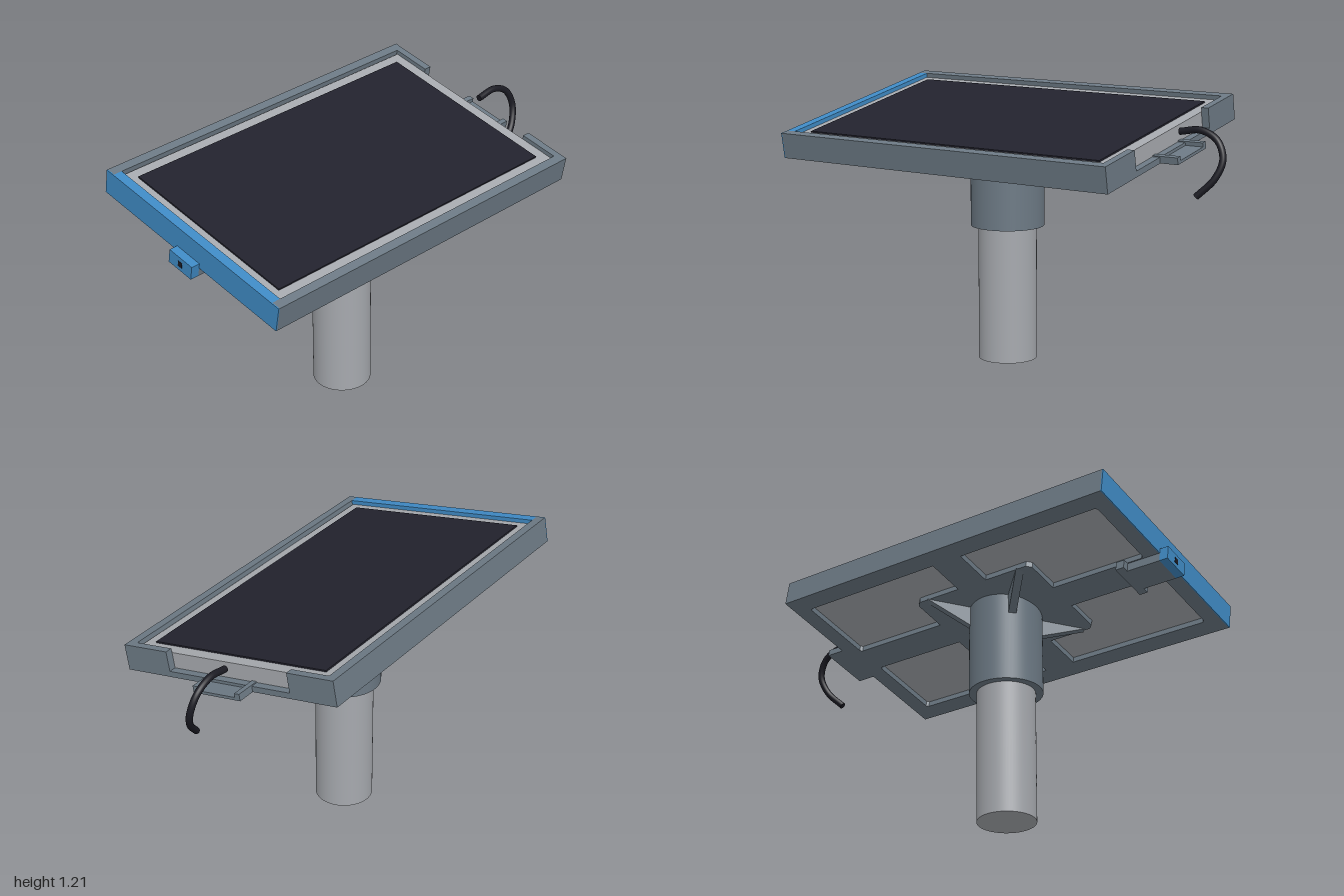
import * as THREE from 'three';

const mat = (name, color) => Object.assign(new THREE.MeshStandardMaterial({ color }), { name });

export function createModel() {
  const frameGrey = mat('slate grey', 0x6c7984);
  const lightGrey = mat('light grey', 0xa6a9ae);
  const blue = mat('blue', 0x3f8ac4);
  const black = mat('screen black', 0x22222d);
  const cordBlack = mat('cord black', 0x1b1b23);

  const model = new THREE.Group();
  const add = (parent, name, geometry, material) => {
    const mesh = new THREE.Mesh(geometry, material);
    mesh.name = name;
    parent.add(mesh);
    return mesh;
  };

  const TILT = THREE.MathUtils.degToRad(10), SLOPE = Math.tan(TILT);
  const CX = -0.1075, CY = 1.055;

  // Tilted head holding the display
  const head = new THREE.Group();
  head.name = 'displayHead';
  head.position.y = CY;
  head.rotation.x = TILT;
  model.add(head);
  // Box from its minimum and maximum corners
  const box = (name, material, x0, x1, y0, y1, z0, z1) => {
    const g = new THREE.BoxGeometry(x1 - x0, y1 - y0, z1 - z0);
    g.translate((x0 + x1) / 2, (y0 + y1) / 2, (z0 + z1) / 2);
    return add(head, name, g, material);
  };

  // Base plate with four L-shaped openings around a central pad
  const plate = new THREE.Shape([
    [-0.955, -0.495], [0.745, -0.495], [0.745, 0.495], [-0.955, 0.495],
  ].map(p => new THREE.Vector2(...p)));
  const opening = [[0.075, 0.26], [0.29, 0.26], [0.31, 0.24], [0.31, 0.075],
    [0.765, 0.075], [0.775, 0.085], [0.775, 0.44], [0.765, 0.45], [0.075, 0.45]];
  for (const sx of [-1, 1]) for (const sz of [-1, 1]) {
    plate.holes.push(new THREE.Path(opening.map(([x, z]) => new THREE.Vector2(CX + sx * x, sz * z))));
  }
  const plateGeo = new THREE.ExtrudeGeometry(plate, { depth: 0.026, bevelEnabled: false });
  plateGeo.rotateX(Math.PI / 2).translate(0, -0.032, 0);
  add(head, 'basePlate', plateGeo, frameGrey);

  // Side walls, and the right end wall with its gap
  for (const s of [-1, 1]) {
    const span = (a, b) => (s > 0 ? [a, b] : [-b, -a]);
    box('longWall', frameGrey, -0.955, 0.745, -0.058, 0.058, ...span(0.495, 0.538));
    box('endWall', frameGrey, 0.71, 0.745, -0.032, 0.058, ...span(0.31, 0.495));
    box('cableTrayLip', frameGrey, 0.71, 0.83, -0.045, -0.027, ...span(0.095, 0.12));
  }
  box('cableTray', frameGrey, 0.745, 0.83, -0.058, -0.045, -0.12, 0.12);

  // Blue end cap with its latch
  box('endCapFace', blue, -0.96, -0.955, -0.058, 0.058, -0.538, 0.538);
  box('endCapInner', blue, -0.955, -0.915, -0.032, 0.058, -0.495, 0.495);
  box('latchTab', blue, -1, -0.96, -0.099, -0.035, -0.07, 0.07);
  box('latchSlot', cordBlack, -1.002, -1, -0.08, -0.055, -0.012, 0.012);
  box('latchBar', frameGrey, -0.96, -0.8, -0.099, -0.058, -0.07, 0.07);
  box('latchHead', frameGrey, -0.8, -0.76, -0.099, -0.058, -0.1, 0.1);

  // Display
  box('displayBody', lightGrey, -0.915, 0.71, -0.032, 0.039, -0.49, 0.49);
  box('displayScreen', black, -0.87, 0.655, 0.039, 0.046, -0.44, 0.44);

  // Post and sleeve, the sleeve cut to meet the tilted plate
  const post = new THREE.Group();
  post.name = 'post';
  post.position.set(CX, 0, -0.004);
  model.add(post);
  const under = z => CY - 0.055 - z * SLOPE;
  add(post, 'pole', new THREE.CylinderGeometry(0.131, 0.131, 0.63, 64).translate(0, 0.315, 0), lightGrey);
  const sleeve = new THREE.CylinderGeometry(0.165, 0.165, 0.39, 64).translate(0, 0.805, 0);
  const p = sleeve.attributes.position;
  for (let i = 0; i < p.count; i++) if (p.getY(i) > 0.9) p.setY(i, under(p.getZ(i)));
  add(post, 'sleeve', sleeve, frameGrey);

  // Diagonal gussets between sleeve and plate
  for (let i = 0; i < 4; i++) {
    const a = Math.PI / 4 + i * Math.PI / 2;
    const rise = -Math.sin(a);  // z grows as the radius turns toward the front
    const top = r => under(rise * r);
    const shape = new THREE.Shape([
      new THREE.Vector2(0.14, top(0.14)),
      new THREE.Vector2(0.14, rise > 0 ? 0.897 : 0.915),
      new THREE.Vector2(0.36, top(0.36)),
    ]);
    const g = new THREE.ExtrudeGeometry(shape, { depth: 0.036, bevelEnabled: false });
    g.translate(0, 0, -0.018);
    add(post, 'gusset', g, frameGrey).rotation.y = a;
  }

  // Hooked cord with closed ends
  const path = new THREE.CatmullRomCurve3([
    [0.77, 1.1, -0.01], [0.87, 1.112, -0.011], [0.95, 1.075, -0.007],
    [0.984, 1.0, 0.006], [0.96, 0.92, 0.03], [0.888, 0.842, 0.057],
  ].map(v => new THREE.Vector3(...v)));
  add(model, 'cord', new THREE.TubeGeometry(path, 48, 0.015, 16), cordBlack);
  for (const t of [0, 1]) {
    const cap = add(model, 'cordEnd', new THREE.CircleGeometry(0.015, 16), cordBlack);
    const dir = path.getTangent(t).multiplyScalar(t ? 1 : -1);
    cap.position.copy(path.getPoint(t));
    cap.quaternion.setFromUnitVectors(new THREE.Vector3(0, 0, 1), dir);
  }
  return model;
}
